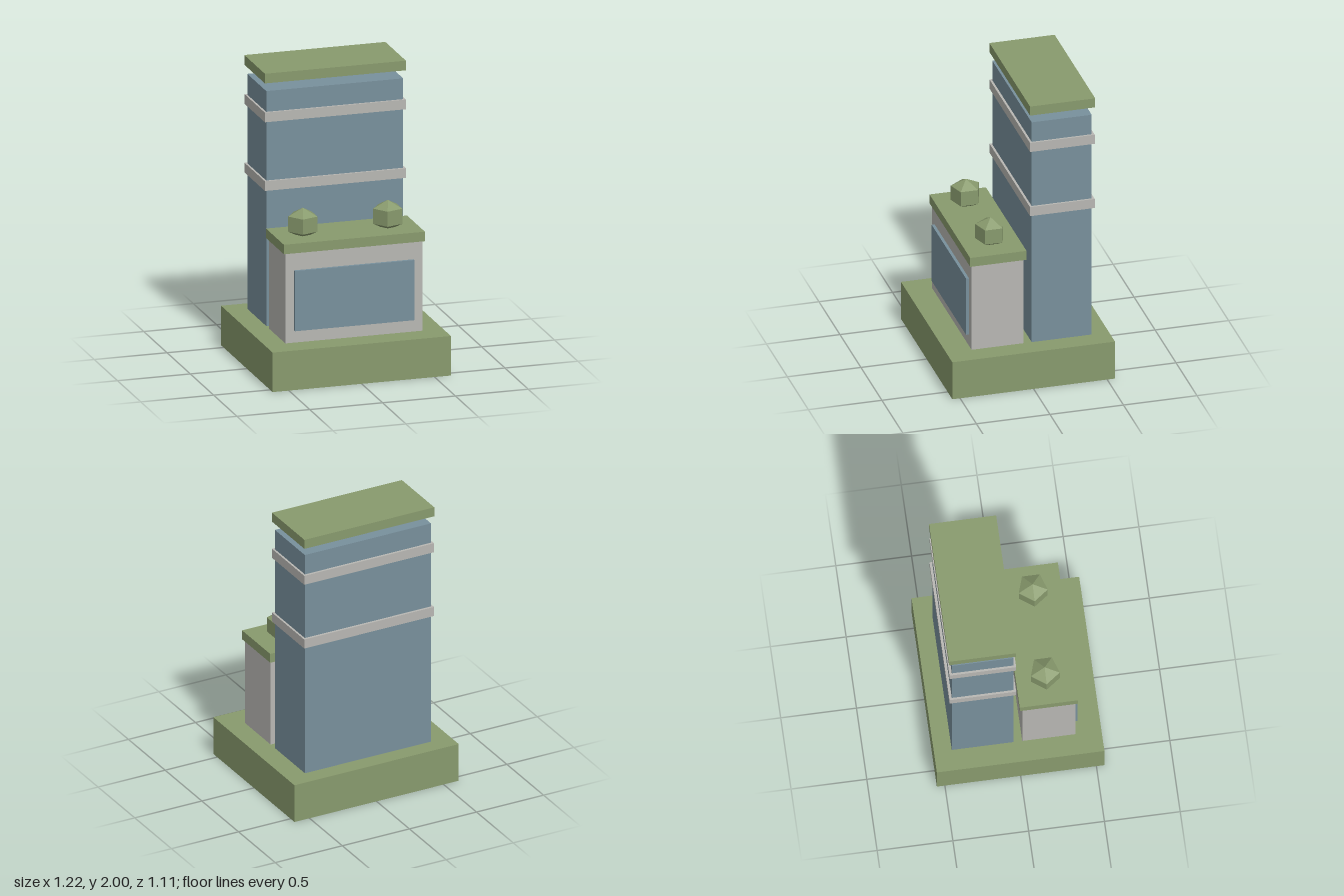
import * as THREE from 'three';

const mat = (name, color) => {
  const m = new THREE.MeshStandardMaterial({ color });
  m.name = name;
  return m;
};

export function createModel() {
  const model = new THREE.Group();
  model.name = 'building';
  const green = mat('sage green', 0x889a6d);
  const blue = mat('slate blue', 0x78909c);
  const grey = mat('stone grey', 0xb8b7b3);

  // Box from its lower and upper limits in y and z, centred on x = 0
  const block = (name, material, width, y0, y1, z0, z1) => {
    const mesh = new THREE.Mesh(new THREE.BoxGeometry(width, y1 - y0, z1 - z0), material);
    mesh.name = name;
    mesh.position.set(0, (y0 + y1) / 2, (z0 + z1) / 2);
    model.add(mesh);
    return mesh;
  };

  // Ground plinth
  block('plinth', green, 1.224, 0, 0.27, -0.553, 0.553);

  // Rear tower with two bands and a floating roof slab
  block('tower', blue, 0.94, 0.27, 1.876, -0.435, -0.027);
  for (const y of [1.199, 1.668]) block('towerBand', grey, 0.968, y, y + 0.066, -0.452, -0.012);
  block('towerRoof', green, 0.968, 1.934, 2, -0.455, -0.012);

  // Low front wing with its roof terrace and wide window
  block('frontWing', grey, 0.94, 0.27, 0.884, 0.03, 0.382);
  block('frontWingRoof', green, 0.968, 0.884, 0.949, 0.012, 0.395);
  block('frontWindow', blue, 0.82, 0.353, 0.764, 0.38, 0.402);

  // Five-sided shrubs on the terrace
  const shrubGeometry = new THREE.SphereGeometry(0.116, 5, 3).toNonIndexed();
  shrubGeometry.scale(1, 0.89, 1);
  shrubGeometry.computeVertexNormals();
  for (const x of [-0.292, 0.291]) {
    const shrub = new THREE.Mesh(shrubGeometry, green);
    shrub.name = 'shrub';
    shrub.position.set(x, 1.026, 0.202);
    model.add(shrub);
  }

  return model;
}
